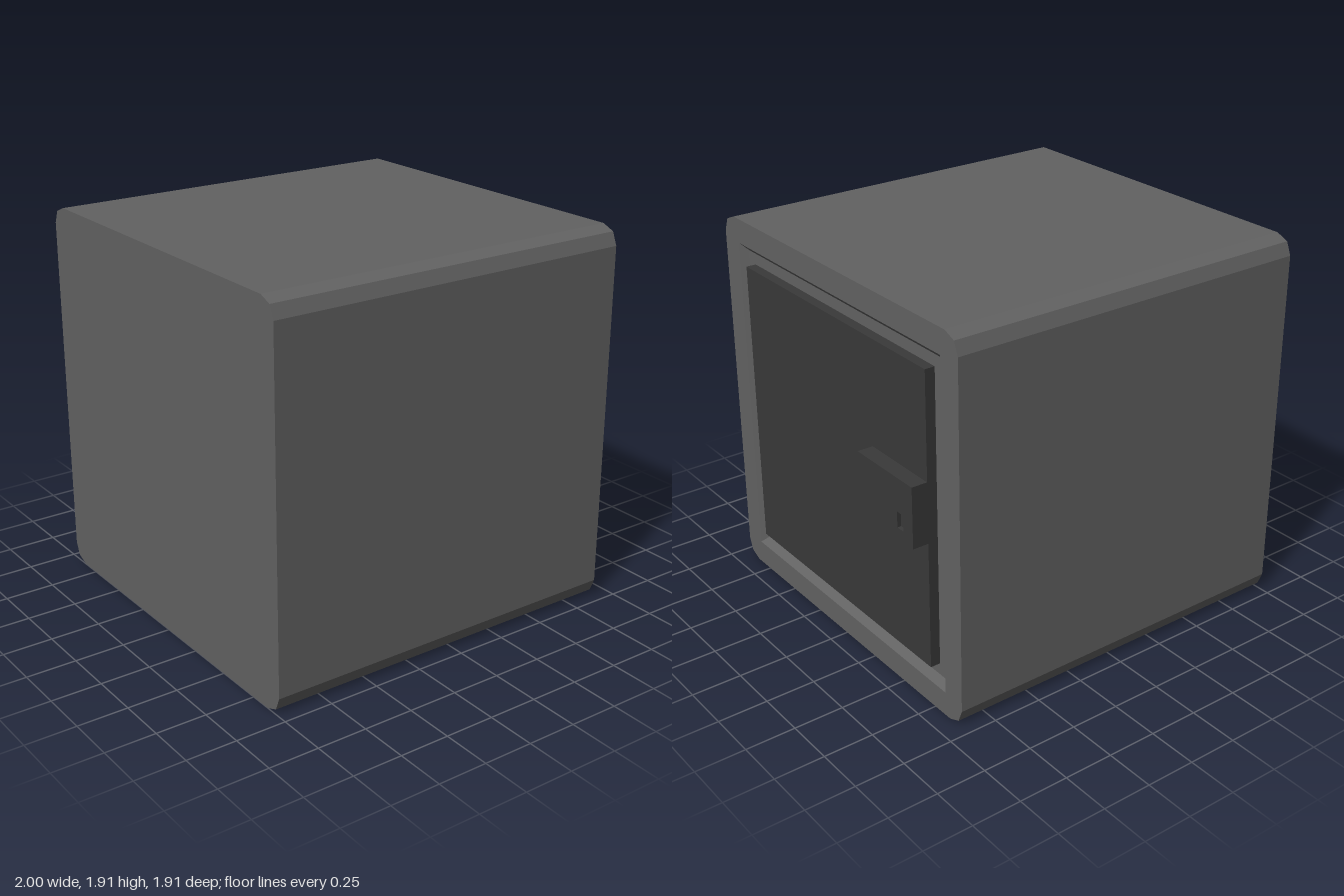
import * as THREE from 'three';

const HALF = 0.955;   // half of the square body section, also its centre height
const BACK = -1, FACE = 0.905, RECESS = 0.87;

const steel = new THREE.MeshStandardMaterial({ color: 0x626262, flatShading: true });
const darkSteel = new THREE.MeshStandardMaterial({ color: 0x393939, flatShading: true });

// Rectangle outline; shape x runs toward -z, shape y is up
function rect(x0, x1, y0, y1, Type = THREE.Shape) {
  return new Type([[x0, y0], [x1, y0], [x1, y1], [x0, y1]].map(([x, y]) => new THREE.Vector2(x, y)));
}

// Square section with two-facet corners
function bodyOutline() {
  const corner = [[HALF, HALF - 0.09], [HALF - 0.026, HALF - 0.026], [HALF - 0.09, HALF]];
  const pts = [];
  for (let i = 0; i < 4; i++) {
    for (const [x, y] of corner) {
      pts.push(new THREE.Vector2(x, y).rotateAround(new THREE.Vector2(), i * Math.PI / 2));
    }
  }
  pts.forEach((p) => { p.y += HALF; });
  return new THREE.Shape(pts);
}

// Extrude a side-on outline from x0 to x1
function slab(name, shape, x0, x1, material, edit) {
  const geo = new THREE.ExtrudeGeometry(shape, { depth: x1 - x0, bevelEnabled: false });
  if (edit) edit(geo.attributes.position);
  geo.rotateY(Math.PI / 2).translate(x0, 0, 0);
  geo.computeVertexNormals();
  const mesh = new THREE.Mesh(geo, material);
  mesh.name = name;
  return mesh;
}

export function createModel() {
  const safe = new THREE.Group();
  safe.name = 'safe';

  // Body block up to the floor of the door recess
  safe.add(slab('body', bodyOutline(), BACK, RECESS, steel));

  // Front rim; its opening narrows toward the recess floor
  const open = 0.832, floor = 0.797;
  const rim = bodyOutline();
  rim.holes.push(rect(-open, open, HALF - open, HALF + open, THREE.Path));
  safe.add(slab('doorFrame', rim, RECESS, FACE, steel, (pos) => {
    for (let i = 0; i < pos.count; i++) {
      const x = pos.getX(i), y = pos.getY(i) - HALF;
      const onOpening = Math.max(Math.abs(x), Math.abs(y)) < open + 0.001;
      if (onOpening && pos.getZ(i) < 0.001) {
        pos.setXY(i, x * floor / open, HALF + y * floor / open);
      }
    }
  }));

  // Door panel
  safe.add(slab('door', rect(-0.742, 0.742, 0.218, 1.695), RECESS, 0.92, darkSteel));

  // Lock box with a sunken keyhole
  const lock = new THREE.Group();
  lock.name = 'lock';
  const plate = rect(0.322, 0.742, 0.865, 1.168);
  plate.holes.push(rect(0.624, 0.67, 0.92, 1.0, THREE.Path));
  lock.add(slab('lockBase', rect(0.322, 0.742, 0.865, 1.168), 0.92, 0.98, darkSteel));
  lock.add(slab('keyholePlate', plate, 0.98, 1.0, darkSteel));
  safe.add(lock);

  return safe;
}
